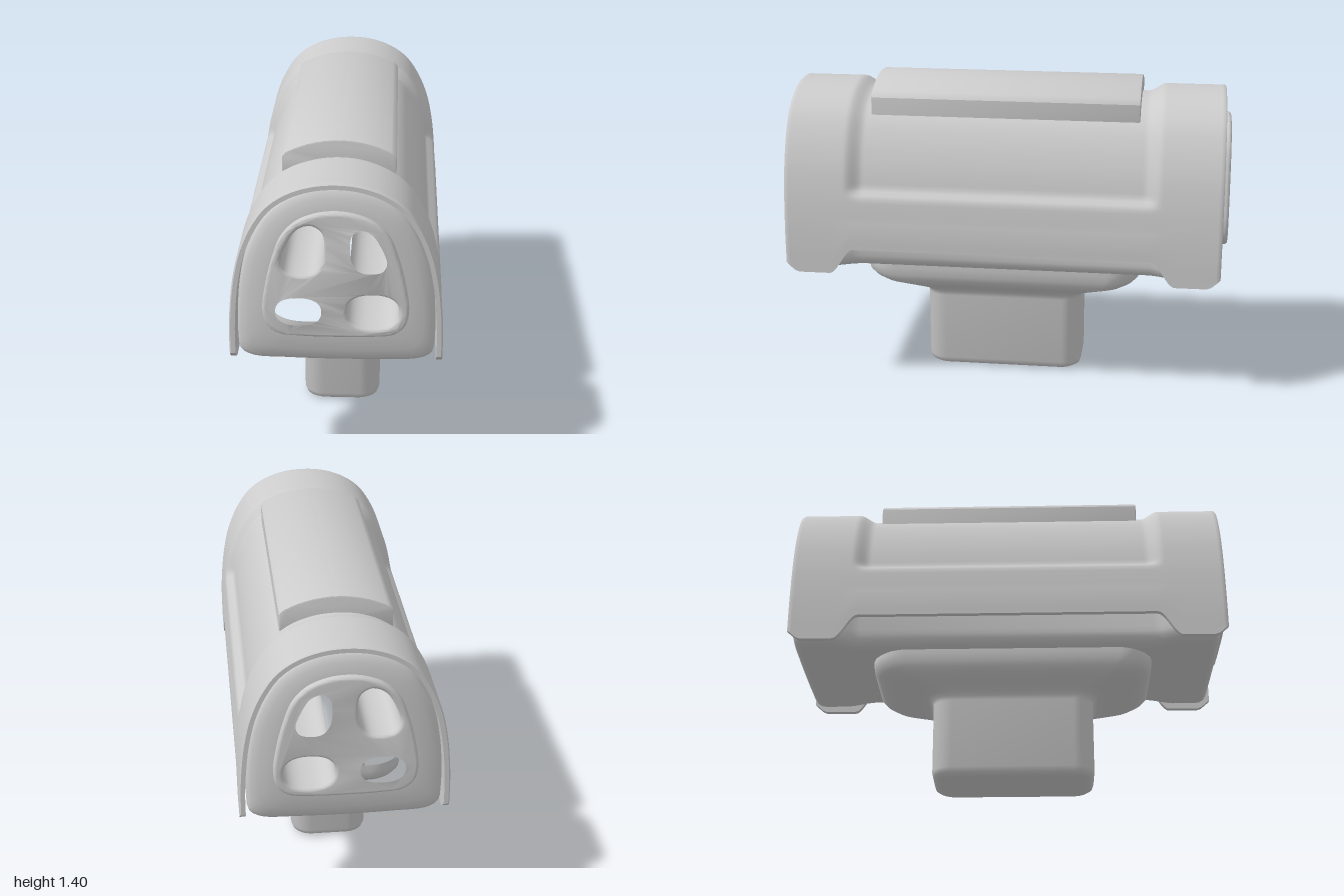
import * as THREE from 'three';
import { toCreasedNormals } from 'three/addons/utils/BufferGeometryUtils.js';

const V2 = (x, y) => new THREE.Vector2(x, y);
const smooth = THREE.MathUtils.smoothstep;
const lerp = THREE.MathUtils.lerp;

// Closed smooth outline from a right half (top centre to bottom centre), mirrored; n points
function outline(half, n) {
  const left = half.slice(1, -1).reverse().map(([x, y]) => [-x, y]);
  return closedCurve([...half, ...left], n);
}
function closedCurve(points, n) {
  const c = new THREE.CatmullRomCurve3(points.map(([x, y]) => new THREE.Vector3(x, y, 0)), true, 'centripetal');
  return c.getSpacedPoints(n).slice(0, n).map((p) => V2(p.x, p.y));
}

// Skin over rings of {z, pts}, ordered by rising z, points clockwise seen from +z
function loft(rings, crease) {
  const n = rings[0].pts.length, pos = [], idx = [];
  for (const r of rings) for (const p of r.pts) pos.push(p.x, p.y, r.z);
  for (let i = 0; i < rings.length - 1; i++) {
    for (let j = 0; j < n; j++) {
      const a = i * n + j, b = i * n + (j + 1) % n, c = a + n, d = b + n;
      idx.push(a, c, b, b, c, d);
    }
  }
  const g = new THREE.BufferGeometry();
  g.setAttribute('position', new THREE.Float32BufferAttribute(pos, 3));
  g.setIndex(idx);
  return toCreasedNormals(g, crease);
}

function roundedRect(hx, hy, r, cy) {
  const pts = [], k = 8;
  for (let q = 0; q < 4; q++) {
    const sx = q === 0 || q === 3 ? 1 : -1, sy = q < 2 ? 1 : -1;
    for (let i = 0; i <= k; i++) {
      const a = (q + i / k) * Math.PI / 2;
      pts.push(V2(sx * (hx - r) + r * Math.cos(a), cy + sy * (hy - r) + r * Math.sin(a)));
    }
  }
  return pts.reverse();
}

const MID = 0.007; // shell is centred slightly forward
const PANEL = [[0, 1.24], [0.08, 1.23], [0.16, 1.195], [0.22, 1.13], [0.255, 1.04], [0.285, 0.92],
  [0.3, 0.8], [0.285, 0.735], [0.24, 0.695], [0.15, 0.683], [0, 0.68]];
const CORE = [[0, 1.332], [0.1, 1.322], [0.19, 1.287], [0.27, 1.225], [0.325, 1.14], [0.37, 1.03],
  [0.397, 0.9], [0.408, 0.78], [0.41, 0.65], [0.402, 0.585], [0.36, 0.556], [0.2, 0.546], [0, 0.543]];
const ARCH = [[0, 1.36], [0.1, 1.35], [0.2, 1.315], [0.28, 1.258], [0.34, 1.175], [0.39, 1.06],
  [0.42, 0.93], [0.435, 0.8], [0.441, 0.67], [0.441, 0.55]];

// Arched outer cover with a sunken middle and lower tabs at both ends
function shellGeometry() {
  const pts = [...ARCH.slice(1).reverse().map(([x, y]) => [-x, y]), ...ARCH];
  const curve = new THREE.CatmullRomCurve3(pts.map(([x, y]) => new THREE.Vector3(x, y, 0)), false, 'centripetal');
  const N = 120, base = [];
  for (let i = 0; i <= N; i++) {
    const p = curve.getPointAt(i / N), t = curve.getTangentAt(i / N);
    base.push({ x: p.x, y: p.y, nx: t.y, ny: -t.x });
  }
  const ring = (z, outer, inner) => {
    const a = Math.abs(z - MID);
    const bottom = lerp(0.665, 0.55, smooth(a, 0.67, 0.78)) + 0.05 * smooth(a, 0.92, 1.0);
    const sunk = 0.036 * (1 - smooth(a, 0.63, 0.71));
    const offset = (o) => base.map((b) => {
      const d = o + sunk * smooth(b.y, 0.905, 0.945);
      const y = b.y < 0.8 ? lerp(bottom, 0.8, (b.y - 0.55) / 0.25) : b.y;
      return V2(b.x + b.nx * d, y + b.ny * d);
    });
    return { z, pts: [...offset(outer), ...offset(inner).reverse()] };
  };
  const T = 0.025, E = 0.98, rings = [];
  const half = [0, 0.3, 0.55, 0.62];
  for (let z = 0.63; z < 0.8; z += 0.01) half.push(z);
  half.push(0.85, 0.92, 0.94, 0.96, 0.972, E);
  const zs = [...half.slice(1).reverse().map((z) => -z), ...half];
  rings.push(ring(MID - E, T, T));
  rings.push(ring(MID - E, 0.006, T));
  for (const z of zs.slice(1, -1)) rings.push(ring(MID + z, 0, T));
  rings.push(ring(MID + E, 0.006, T));
  rings.push(ring(MID + E, T, T));
  return loft(rings, 0.7);
}

// Inner body: slimmer in the middle, domed ends closing on the panel outline
function coreGeometry() {
  const n = 120, arch = outline(CORE, n), panel = outline(PANEL, n);
  const scaled = (sx, sy) => arch.map((p) => V2(p.x * sx, 0.9 + (p.y - 0.9) * (p.y > 0.9 ? sy : 1)));
  const mix = (k) => arch.map((p, i) => p.clone().lerp(panel[i], k));
  const half = [
    [0, scaled(0.87, 0.9)], [0.66, scaled(0.87, 0.9)], [0.7, scaled(0.9, 0.92)], [0.76, scaled(0.97, 0.97)],
    [0.8, arch], [0.91, arch], [0.932, mix(0.02)], [0.947, mix(0.07)], [0.956, mix(0.16)],
    [0.966, mix(0.45)], [0.974, mix(0.8)], [0.976, panel],
  ];
  const rings = [...half.slice(1).reverse().map(([z, pts]) => ({ z: -z, pts })),
    ...half.map(([z, pts]) => ({ z, pts }))];
  return loft(rings, 0.8);
}

// End panels and the four ducts running the full length between them
function ductGeometry() {
  const shape = new THREE.Shape(outline(PANEL, 80));
  const upper = [[0.045, 1.09], [0.055, 1.15], [0.1, 1.18], [0.155, 1.16], [0.2, 1.09], [0.222, 1.02],
    [0.2, 0.975], [0.15, 0.96], [0.09, 0.97], [0.053, 1.02]];
  const lower = [];
  for (let i = 0; i < 20; i++) {
    const a = i / 20 * Math.PI * 2, c = Math.cos(a), s = Math.sin(a);
    lower.push([0.152 + 0.108 * Math.sign(c) * Math.abs(c) ** 0.85, 0.798 + 0.077 * Math.sign(s) * Math.abs(s) ** 0.85]);
  }
  for (const side of [-1, 1]) {
    for (const hole of [upper, lower]) {
      shape.holes.push(new THREE.Path(closedCurve(hole.map(([x, y]) => [side * x, y]), 48)));
    }
  }
  const b = 0.014;
  const g = new THREE.ExtrudeGeometry(shape, {
    depth: 2 - 2 * b, bevelThickness: b, bevelSize: b, bevelOffset: -b, bevelSegments: 4, steps: 1,
  });
  g.translate(0, 0, -1 + b);
  return toCreasedNormals(g, 0.6);
}

// Raised curved plate along the top
function plateGeometry() {
  const s = new THREE.Shape();
  const R = 0.476, a = Math.asin(0.225 / R), cy = 1.4 - R;
  s.moveTo(-0.24, 1.24);
  s.lineTo(-0.24, 1.325);
  s.absarc(0, cy, R, Math.PI / 2 + a, Math.PI / 2 - a, true);
  s.lineTo(0.24, 1.325);
  s.lineTo(0.24, 1.24);
  const b = 0.006;
  const g = new THREE.ExtrudeGeometry(s, {
    depth: 1.21 - 2 * b, curveSegments: 24, bevelThickness: b, bevelSize: b, bevelOffset: -b, bevelSegments: 2,
  });
  g.translate(0, 0, -0.595 + b);
  return toCreasedNormals(g, 0.6);
}

// Stem flaring into the collar under the body: height, half width, half length, corner radius
function stemGeometry() {
  const rows = [[0, 0, 0, 0], [0.002, 0.13, 0.32, 0.06], [0.006, 0.15, 0.342, 0.075], [0.018, 0.167, 0.358, 0.085],
    [0.04, 0.175, 0.365, 0.09], [0.36, 0.175, 0.365, 0.09], [0.38, 0.179, 0.37, 0.09], [0.395, 0.192, 0.39, 0.1],
    [0.41, 0.213, 0.43, 0.11], [0.435, 0.25, 0.515, 0.13], [0.455, 0.28, 0.575, 0.14], [0.475, 0.295, 0.61, 0.15],
    [0.5, 0.303, 0.632, 0.15], [0.535, 0.306, 0.637, 0.15], [0.57, 0.306, 0.637, 0.15]];
  const g = loft(rows.map(([y, hx, hz, r]) => ({ z: y, pts: roundedRect(hx, hz, r, -0.025) })), 0.7);
  return g.rotateX(-Math.PI / 2);
}

export function createModel() {
  const model = new THREE.Group();
  model.name = 'ductedHousing';
  const material = new THREE.MeshStandardMaterial({ color: 0xcccccc });
  const parts = {
    outerShell: shellGeometry(),
    innerBody: coreGeometry(),
    endPanelsAndDucts: ductGeometry(),
    topPlate: plateGeometry(),
    stemAndCollar: stemGeometry(),
  };
  for (const [name, geometry] of Object.entries(parts)) {
    const mesh = new THREE.Mesh(geometry, material);
    mesh.name = name;
    model.add(mesh);
  }
  return model;
}
